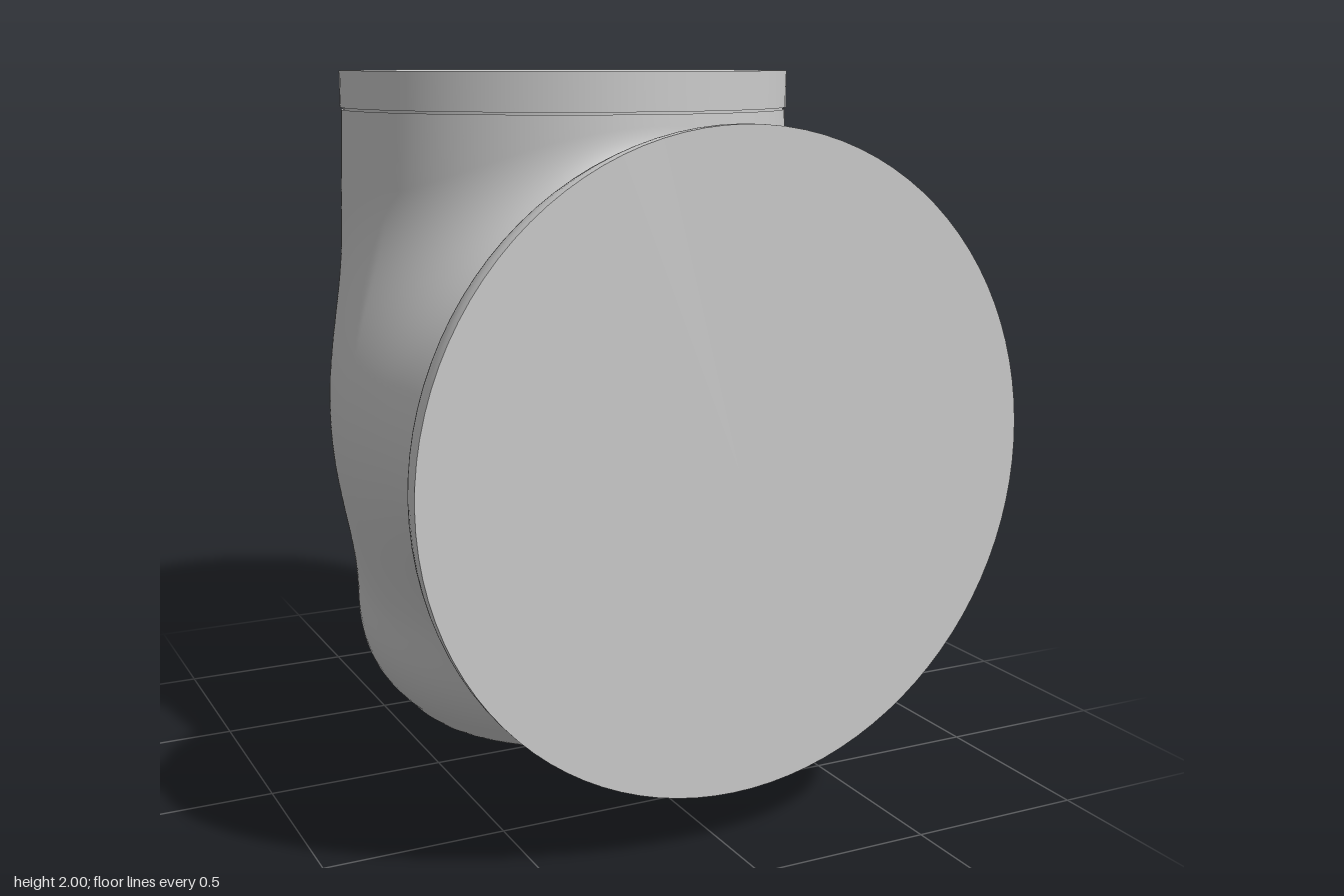
import * as THREE from 'three';

const grey = new THREE.MeshStandardMaterial({ color: 0xcccccc });
const greyDouble = new THREE.MeshStandardMaterial({ color: 0xcccccc, side: THREE.DoubleSide });

const AXIS_Z = -0.195; // axis of the upright barrel
const BRANCH_Y = 1.02; // axis of the front opening
const BLEND = 0.16; // size of the fillet between the two
const PIVOT = { y: 1.89, z: 0.62 }; // all cross-sections fan around this line

// Drain slots as height ranges, in front of and behind the barrel axis
const SLOT_ANGLE = 0.58;
const FRONT_SLOT = [0.24, 0.275];
const BACK_SLOT = [0.16, 0.265];

// Radius of the upright barrel: rounded at the base, with a faint rim that rises to the back
function barrelRadius(y, z) {
  const rimY = 0.085 + 0.1 * THREE.MathUtils.smoothstep(-z, 0.1, 0.8);
  const rim = 0.012 * Math.exp(-(((y - rimY) / 0.022) ** 2));
  if (y < 0.45) {
    const t = Math.min(1, 1 - y / 0.45);
    return 0.64 * Math.sqrt(1 - 0.835 * t ** 2.6) + rim;
  }
  const u = (y - 0.45) / 1.44;
  return 0.64 + 0.008 * u + 0.018 * Math.sin(Math.PI * u);
}

// Negative inside the barrel and branch, which are joined by a fillet
function field(x, y, z) {
  const barrel = Math.max(Math.hypot(x, z - AXIS_Z) - barrelRadius(y, z), -y);
  const r = Math.hypot(x, y - BRANCH_Y);
  const branch = z > 0 ? r - (0.745 - 0.145 * z) : (Math.hypot(r / 0.745, z / 0.72) - 1) * 0.745;
  const h = Math.max(BLEND - Math.abs(barrel - branch), 0);
  return Math.min(barrel, branch) - (h * h) / (4 * BLEND);
}

// Depth of the drain slots, 0 to 1
function slotDepth(x, y, z) {
  const dz = z - AXIS_Z;
  const [low, high] = dz > 0 ? FRONT_SLOT : BACK_SLOT;
  const across = Math.abs(x) * Math.cos(SLOT_ANGLE) - Math.abs(dz) * Math.sin(SLOT_ANGLE);
  const along = y - THREE.MathUtils.clamp(y, low, high);
  return 1 - THREE.MathUtils.smoothstep(Math.hypot(across, along), 0.02, 0.034);
}

// Flat sections from the top opening round to the front one
function elbowGeometry(rows, cols) {
  const pos = [], index = [];
  for (let i = 0; i <= rows; i++) {
    const fan = (i / rows) * Math.PI / 2;
    const reach = 0.815 + 0.055 * (i / rows);
    const uy = Math.sin(fan), uz = Math.cos(fan);
    const cy = PIVOT.y - reach * uy, cz = PIVOT.z - reach * uz;
    for (let j = 0; j < cols; j++) {
      const a = (j / cols) * Math.PI * 2;
      const at = t => [t * Math.sin(a), cy + t * Math.cos(a) * uy, cz + t * Math.cos(a) * uz];
      // Step out to the surface, then halve the last step
      let hi = 0.03;
      while (hi < 1.5 && field(...at(hi)) < 0) hi += 0.03;
      let lo = hi - 0.03;
      for (let s = 0; s < 14; s++) {
        const mid = (lo + hi) / 2;
        if (field(...at(mid)) < 0) lo = mid;
        else hi = mid;
      }
      const [x, y, z] = at(hi);
      const sink = 1 - 0.13 * slotDepth(x, y, z);
      pos.push(x * sink, y, AXIS_Z + (z - AXIS_Z) * sink);
      if (i < rows) {
        const k = (j + 1) % cols, r = i * cols, n = r + cols;
        index.push(r + j, n + j, r + k, r + k, n + j, n + k);
      }
    }
  }
  const g = new THREE.BufferGeometry();
  g.setAttribute('position', new THREE.Float32BufferAttribute(pos, 3));
  g.setIndex(index);
  g.computeVertexNormals();
  return g;
}

export function createModel() {
  const model = new THREE.Group();
  const add = (name, geometry, material, parent = model) => {
    const mesh = new THREE.Mesh(geometry, material);
    mesh.name = name;
    parent.add(mesh);
    return mesh;
  };

  add('elbowBody', elbowGeometry(220, 240), greyDouble);

  // Collar on the upright opening, above a narrow groove
  const collar = new THREE.Group();
  collar.name = 'topCollar';
  collar.position.z = AXIS_Z;
  model.add(collar);
  add('collarGroove', new THREE.CylinderGeometry(0.643, 0.643, 0.03, 96), grey, collar).position.y = 1.89;
  add('collarBand', new THREE.CylinderGeometry(0.652, 0.652, 0.104, 96), grey, collar).position.y = 1.948;

  // Rounded flange on the front opening, turned so its axis runs along z
  const flange = new THREE.Group();
  flange.name = 'frontFlange';
  flange.position.y = BRANCH_Y;
  flange.rotation.x = Math.PI / 2;
  model.add(flange);
  const neck = [[0.655, 0.618], [0.652, 0.628], [0.668, 0.64]].map(q => new THREE.Vector2(...q));
  const bulge = new THREE.SplineCurve([
    [0.668, 0.64], [0.715, 0.655], [0.785, 0.695], [0.835, 0.755], [0.856, 0.82], [0.858, 0.863],
  ].map(q => new THREE.Vector2(...q))).getPoints(24);
  add('flangeNeck', new THREE.LatheGeometry(neck, 96), greyDouble, flange);
  add('flangeRim', new THREE.LatheGeometry(bulge, 96), greyDouble, flange);
  const face = add('flangeFace', new THREE.CircleGeometry(0.858, 96), grey);
  face.position.set(0, BRANCH_Y, 0.863);

  return model;
}
